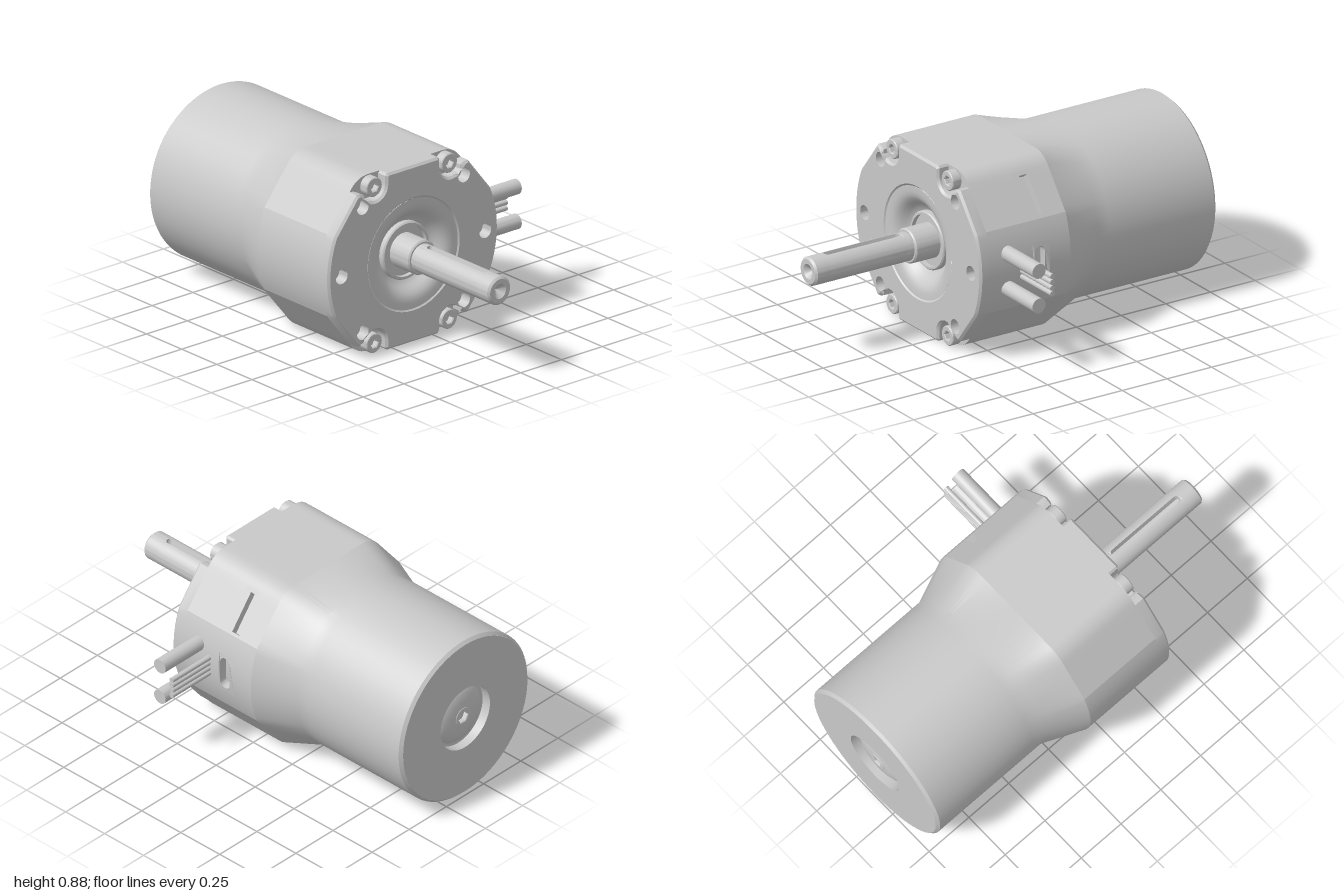
import * as THREE from 'three';
import { toCreasedNormals } from 'three/addons/utils/BufferGeometryUtils.js';

const metal = new THREE.MeshStandardMaterial({ color: 0xc9c9c9 });
metal.name = 'plain grey metal';

const V = (x, y) => new THREE.Vector2(x, y);
const R = 0.52, ARC = 0.405, CAN = 0.4325;      // gearbox side arc, its half angle, motor can
const Z_BACK = -0.12, Z_STEP = 0.325, Z_FACE = 0.385;
const SLOT_Z = [-0.005, 0.088];                 // band of wall that holds the slots

function add(parent, name, geometry, crease = 0.4) {
  const mesh = new THREE.Mesh(crease ? toCreasedNormals(geometry, crease) : geometry, metal);
  mesh.name = name;
  parent.add(mesh);
  return mesh;
}

// Solid of revolution about the z axis; points are [radius, z]
function turned(points, start = 0, length = Math.PI * 2) {
  return new THREE.LatheGeometry(points.map(p => V(...p)), 64, start, length).rotateX(Math.PI / 2);
}

const circle = (x, y, r) => new THREE.Path().absarc(x, y, r, 0, Math.PI * 2);

function arcPoints(x, y, r, a0, a1, n) {
  return Array.from({ length: n + 1 }, (_, i) => {
    const a = a0 + (a1 - a0) * i / n;
    return V(x + r * Math.cos(a), y + r * Math.sin(a));
  });
}

const linePoints = (a, b, n) => Array.from({ length: n + 1 }, (_, i) => a.clone().lerp(b, i / n));

// Mirror a first-quadrant outline into a closed counter-clockwise ring
function mirrored(q) {
  const half = [...q, ...q.slice(0, -1).reverse().map(p => V(-p.x, p.y))];
  return [...half, ...half.slice(1, -1).reverse().map(p => V(p.x, -p.y))];
}

// Skin through [outline, z] sections, back to front
function loft(parent, name, sections, crease, skip = () => false) {
  const position = [], index = [], n = sections[0][0].length;
  sections.forEach(([pts, z]) => pts.forEach(p => position.push(p.x, p.y, z)));
  for (let k = 0; k < sections.length - 1; k++) {
    for (let i = 0; i < n; i++) {
      if (skip(k, i)) continue;
      const a = k * n + i, b = k * n + (i + 1) % n;
      index.push(a, b, b + n, a, b + n, a + n);
    }
  }
  const geometry = new THREE.BufferGeometry();
  geometry.setAttribute('position', new THREE.Float32BufferAttribute(position, 3));
  geometry.setIndex(index);
  add(parent, name, geometry, crease);
}

function roundedSlot(uc, vc, hu, hv, r) {
  const n = r ? 6 : 0;
  return [[1, 1], [-1, 1], [-1, -1], [1, -1]].flatMap(([su, sv], k) => arcPoints(
    uc + su * (hu - r), vc + sv * (hv - r), r, k * Math.PI / 2, (k + 1) * Math.PI / 2, n || 1)
    .slice(0, n + 1));
}

// Wall panel with a recessed slot, laid on a surface by map(u, v, w)
function slottedPanel(parent, name, u0, u1, [v0, v1], slot, depth, map) {
  const shape = new THREE.Shape([
    ...linePoints(V(u0, v0), V(u1, v0), 8), ...linePoints(V(u1, v1), V(u0, v1), 8)]);
  shape.holes.push(new THREE.Path(slot));
  const lay = (geometry, offset) => {
    const p = geometry.attributes.position;
    for (let i = 0; i < p.count; i++) {
      p.setXYZ(i, ...map(p.getX(i), p.getY(i), p.getZ(i) + offset));
    }
    return geometry;
  };
  const group = new THREE.Group();
  group.name = name;
  add(group, name + 'Wall', lay(new THREE.ExtrudeGeometry(shape, { depth, bevelEnabled: false }), -depth));
  add(group, name + 'Floor', lay(new THREE.ShapeGeometry(new THREE.Shape(slot)), -depth));
  parent.add(group);
  return group;
}

const onCylinder = r => (u, v, w) => [(r + w) * Math.cos(u / r), (r + w) * Math.sin(u / r), v];

// Screw head with a hexagon socket, facing +z from z = 0
function hexHead(parent, name, r, hex, height) {
  const group = new THREE.Group();
  group.name = name;
  const shape = new THREE.Shape(arcPoints(0, 0, r, 0, Math.PI * 2, 32).slice(0, -1));
  shape.holes.push(new THREE.Path(arcPoints(0, 0, hex, 0, Math.PI * 2, 6).slice(0, -1)));
  const b = 0.004;
  add(group, name + 'Rim', new THREE.ExtrudeGeometry(shape, {
    depth: height - 2 * b, bevelThickness: b, bevelSize: b, bevelOffset: -b, bevelSegments: 1,
  }).translate(0, 0, b));
  add(group, name + 'Socket', new THREE.CircleGeometry(r * 0.85, 24).translate(0, 0, height * 0.4));
  parent.add(group);
  return group;
}

export function createModel() {
  const root = new THREE.Group(), model = new THREE.Group();
  root.name = 'motorAssembly';
  model.name = 'gearedMotor';
  model.position.set(-0.127, 0.441, 0);
  root.add(model);

  // Gearbox outline: side arc, slanted flat, rounded corner, top flat
  const slantA = V(R * Math.cos(ARC), R * Math.sin(ARC));
  const corner = arcPoints(0.23, 0.314, 0.127, 0.663, Math.PI / 2, 6);
  const slantB = corner[0];
  const sideArc = arcPoints(0, 0, R, 0, ARC, 8);
  const ring = mirrored([
    ...sideArc,
    ...linePoints(slantA, slantB, 6).slice(1),
    ...corner.slice(1),
    ...linePoints(corner[6], V(0, 0.441), 6).slice(1)]);
  const round = r => ring.map(p => p.clone().setLength(r));

  // Round motor can, smooth neck and gearbox wall with openings for the slots
  loft(model, 'motorCan', [[round(0.418), -1], [round(CAN), -0.985], [round(CAN), -0.4],
    [round(CAN), -0.335], [ring, Z_BACK]], 0.5);
  loft(model, 'gearboxWall', [Z_BACK, ...SLOT_Z, Z_STEP].map(z => [ring, z]), 0.22,
    (k, i) => k === 1 && (i < 4 || i >= ring.length - 4 || (i >= 8 && i < 14)));

  const sideU = R * ARC / 2;
  slottedPanel(model, 'sideSlot', -sideU, sideU, SLOT_Z,
    roundedSlot(0, 0.05, 0.084, 0.03, 0.029), 0.04, onCylinder(R));
  const along = slantB.clone().sub(slantA), len = along.length();
  along.normalize();
  slottedPanel(model, 'slantWindow', 0, len, SLOT_Z,
    roundedSlot(len * 0.49, 0.025, len * 0.43, 0.023, 0), 0.035, (u, v, w) => [
      slantA.x + along.x * u + along.y * w, slantA.y + along.y * u - along.x * w, v]);

  // Shoulder under the front plate
  const shoulder = new THREE.Shape(ring);
  shoulder.holes.push(circle(0, 0, 0.27));
  add(model, 'shoulder', new THREE.ShapeGeometry(shoulder, 32).translate(0, 0, Z_STEP), 0);

  // Front plate with screw notches, chamfered rim and straight blind holes
  const notch = arcPoints(0.232, 0.39, 0.067, -0.35, -Math.PI, 14);
  const plate = new THREE.Shape(mirrored([
    ...sideArc, slantB.clone().lerp(slantA, 0.07), V(0.318, 0.377), ...notch,
    V(0.165, 0.43), V(0.155, 0.441), V(0, 0.441)]));
  plate.holes.push(circle(0, 0, 0.272));
  const holes = [-1, 1].flatMap(s => [V(s * 0.44, 0), V(s * 0.31, 0.313), V(s * 0.31, -0.313)]);
  holes.forEach(h => plate.holes.push(circle(h.x, h.y, 0.036)));
  const bevel = 0.011;
  const plateGeometry = new THREE.ExtrudeGeometry(plate, {
    depth: Z_FACE - Z_STEP - bevel, curveSegments: 24,
    bevelThickness: bevel, bevelSize: bevel, bevelOffset: -bevel, bevelSegments: 1,
  }).translate(0, 0, Z_STEP);
  const p = plateGeometry.attributes.position;
  for (let i = 0; i < p.count; i++) {
    const at = V(p.getX(i), p.getY(i));
    const hole = holes.find(h => h.distanceTo(at) < 0.05);
    if (!hole) continue;
    at.sub(hole).setLength(0.036).add(hole);
    p.setXY(i, at.x, at.y);
  }
  add(model, 'frontPlate', plateGeometry);

  for (const s of [-1, 1]) for (const t of [-1, 1]) {
    hexHead(model, 'plateScrew', 0.048, 0.023, 0.05).position.set(s * 0.23, t * 0.39, Z_STEP);
  }

  // Dished centre, bearing ring and shaft collar
  add(model, 'dishAndCollar', turned([
    [0.275, 0.38], [0.245, 0.379], [0.225, 0.375], [0.207, 0.366], [0.19, 0.35], [0.175, 0.331],
    [0.16, 0.315], [0.142, 0.306], [0.142, 0.33], [0.136, 0.336], [0.126, 0.336],
    [0.126, 0.315], [0.085, 0.315], [0.085, 0.443], [0.078, 0.45], [0.06, 0.45]]));

  // Output shaft with keyway and centre drilling
  const gap = 0.43, sr = 0.07, keyZ = [0.482, 0.918];
  add(model, 'shaftRoot', turned([[sr, 0.44], [sr, keyZ[0]]]));
  add(model, 'shaft', turned([[sr, keyZ[0]], [sr, keyZ[1]]], Math.PI + gap, 2 * (Math.PI - gap)));
  add(model, 'shaftTip', turned([[sr, keyZ[1]], [sr, 0.99], [0.06, 1], [0.037, 1], [0, 0.965]]));
  slottedPanel(model, 'keyway', -gap * sr, gap * sr, keyZ,
    roundedSlot(0, 0.7, 0.018, 0.21, 0.0175), 0.03, onCylinder(sr)).rotation.z = Math.PI / 2;

  // Rear face with a recessed domed screw
  add(model, 'rearFace', turned([
    [0.045, -0.985], [0.08, -0.982], [0.115, -0.974], [0.14, -0.963], [0.15, -0.953],
    [0.166, -0.953], [0.166, -1], [0.418, -1]]));
  const rearScrew = hexHead(model, 'rearScrew', 0.05, 0.032, 0.04);
  rearScrew.rotation.y = Math.PI;
  rearScrew.position.z = -0.947;

  // Cables leaving the left side
  const cable = (name, y, z, r) => add(model, name,
    new THREE.CylinderGeometry(r, r, 0.28, 24).rotateZ(Math.PI / 2).translate(0.63, y, z));
  for (const s of [-1, 1]) cable('powerCable', s * 0.087, 0.225, 0.037);
  for (let i = 0; i < 4; i++) cable('signalWire', (i - 1.5) * 0.029, 0.15, 0.013);

  return root;
}
